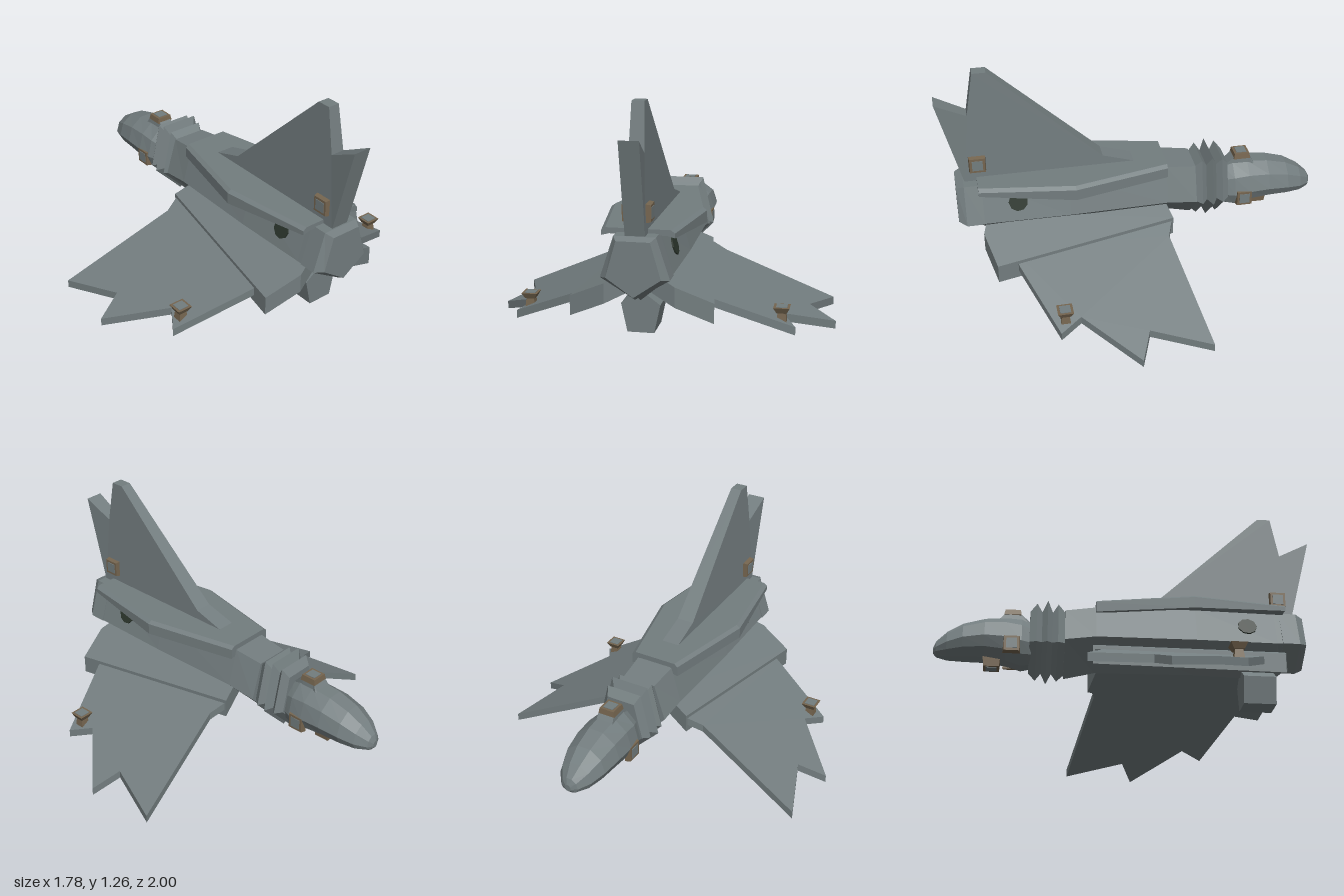
import * as THREE from 'three';

const material = (name, color, side = THREE.FrontSide) => {
  const m = new THREE.MeshStandardMaterial({ color, side, flatShading: true });
  m.name = name;
  return m;
};

export function createModel() {
  const root = new THREE.Group();
  root.name = 'spacecraft';
  const hull = material('hullGrey', 0x737d7f);
  const bronze = material('bronze', 0x75654f);
  const dark = material('darkPort', 0x2b352c, THREE.DoubleSide);

  const add = (name, geo, mat = hull, parent = root) => {
    const mesh = new THREE.Mesh(geo, mat);
    mesh.name = name;
    parent.add(mesh);
    return mesh;
  };

  // Skin over convex rings, each counter-clockwise seen from +z, ordered by rising z
  const loft = (rings) => {
    const pos = [];
    const tri = (...pts) => pts.forEach((p) => pos.push(...p));
    const n = rings[0].length;
    for (let r = 0; r < rings.length - 1; r++) {
      const a = rings[r], b = rings[r + 1];
      for (let i = 0; i < n; i++) {
        const j = (i + 1) % n;
        tri(a[i], a[j], b[j]);
        tri(a[i], b[j], b[i]);
      }
    }
    const first = rings[0], last = rings[rings.length - 1];
    for (let i = 1; i < n - 1; i++) {
      tri(first[0], first[i + 1], first[i]);
      tri(last[0], last[i], last[i + 1]);
    }
    const g = new THREE.BufferGeometry();
    g.setAttribute('position', new THREE.Float32BufferAttribute(pos, 3));
    g.computeVertexNormals();
    return g;
  };

  // Five-sided section: flat top, widest below the middle, pointed keel
  const pent = (z, topX, topY, midX, midY, keelY) => [
    [0, keelY, z], [midX, midY, z], [topX, topY, z], [-topX, topY, z], [-midX, midY, z],
  ];

  // Horizontal plate from a plan of [x, z] points, lifted by a rule y(x)
  const plate = (plan, thickness, lift) => {
    const shape = new THREE.Shape(plan.map(([x, z]) => new THREE.Vector2(x, -z)));
    const g = new THREE.ExtrudeGeometry(shape, { depth: thickness, bevelEnabled: false });
    g.rotateX(-Math.PI / 2);
    const p = g.attributes.position;
    for (let i = 0; i < p.count; i++) p.setY(i, p.getY(i) + lift(Math.abs(p.getX(i))));
    g.computeVertexNormals();
    return g;
  };

  // Fuselage, neck and main engine
  add('fuselage', loft([
    pent(-0.33, 0.09, 0.62, 0.15, 0.43, 0.27),
    pent(-0.17, 0.10, 0.64, 0.155, 0.45, 0.31),
    pent(0.35, 0.11, 0.65, 0.165, 0.45, 0.32),
    pent(0.77, 0.10, 0.65, 0.16, 0.45, 0.31),
    pent(0.82, 0.10, 0.65, 0.16, 0.45, 0.35),
  ]));
  add('mainEngine', loft([
    pent(0.80, 0.10, 0.65, 0.165, 0.45, 0.35),
    pent(0.89, 0.10, 0.65, 0.165, 0.45, 0.35),
    pent(0.93, 0.08, 0.635, 0.13, 0.46, 0.37),
  ]));
  add('lowerEngine', loft([0.6, 0.77].map((z) => [
    [-0.065, 0.15, z], [0.065, 0.15, z], [0.095, 0.29, z], [0, 0.36, z], [-0.095, 0.29, z],
  ])));

  // Ribbed collar between neck and head
  const ribs = [];
  [[-0.51, 0.76], [-0.475, 0.95], [-0.447, 0.76], [-0.42, 1.03], [-0.393, 0.76], [-0.365, 0.95], [-0.33, 0.78]]
    .forEach(([z, s]) => ribs.push(pent(z, 0.1 * s, 0.45 + 0.21 * s, 0.16 * s, 0.45 - 0.04 * s, 0.45 - 0.205 * s)));
  add('ribbedCollar', loft(ribs));

  // Head: faceted rounded nose; each entry is z, half width, top, bottom
  add('head', loft([
    [-1.0, 0.015, 0.42, 0.385], [-0.985, 0.045, 0.45, 0.37], [-0.93, 0.085, 0.5, 0.36],
    [-0.85, 0.112, 0.545, 0.36], [-0.74, 0.125, 0.575, 0.36], [-0.63, 0.126, 0.585, 0.345],
    [-0.55, 0.12, 0.58, 0.32], [-0.5, 0.1, 0.56, 0.33],
  ].map(([z, w, top, bottom]) => {
    const mid = bottom + (top - bottom) * 0.4;
    return Array.from({ length: 10 }, (_, i) => {
      const a = -Math.PI / 2 + ((i + 0.5) * Math.PI) / 5;
      const s = Math.sin(a) / Math.sin(0.4 * Math.PI);
      return [w * Math.cos(a) / Math.cos(Math.PI / 10), mid + s * (s > 0 ? top - mid : mid - bottom), z];
    });
  })));

  // Dorsal deck
  const deck = [[-0.17, 0.135, 0.6], [0.33, 0.245, 0.595], [0.82, 0.175, 0.632]];
  const deckSide = deck.map(([z, x]) => [x - 0.02, z]);
  add('dorsalDeck', plate(
    [...deckSide, ...deckSide.map(([x, z]) => [-x, z]).reverse()], 0.028, () => 0.642));

  // Tail fin, thinner towards its leading spike
  const finShape = new THREE.Shape([[1.0, 1.11], [0.84, 1.03], [0.8, 1.26], [0.73, 1.26], [0.16, 0.72],
    [-0.02, 0.665], [-0.02, 0.64], [0.88, 0.64]].map(([z, y]) => new THREE.Vector2(-z, y)));
  const fin = new THREE.ExtrudeGeometry(finShape, { depth: 2, bevelEnabled: false });
  fin.translate(0, 0, -1).rotateY(Math.PI / 2);
  const fp = fin.attributes.position;
  for (let i = 0; i < fp.count; i++) {
    const y = fp.getY(i), z = fp.getZ(i);
    const half = z > 0.85 ? 0.048 : 0.048 - 0.018 * Math.max(0, (y - 0.65) / 0.61);
    fp.setX(i, Math.sign(fp.getX(i)) * half);
  }
  fin.computeVertexNormals();
  add('tailFin', fin);

  // Manoeuvring thruster: flared bronze block with an inset face, pointing along dir
  const thruster = (name, position, dir, height = 0.03, stem = 0) => {
    const g = new THREE.Group();
    g.name = name;
    const block = (label, top, bottom, h, y, mat) => {
      const geo = new THREE.CylinderGeometry(top / Math.SQRT2, bottom / Math.SQRT2, h, 4);
      geo.rotateY(Math.PI / 4);
      add(label, geo, mat, g).position.y = y;
    };
    block('thrusterBlock', 0.08, stem ? 0.05 : 0.09, height, -height / 2, bronze);
    if (stem) block('thrusterStem', 0.04, 0.05, stem, -height - stem / 2, bronze);
    block('thrusterFace', 0.055, 0.055, 0.004, 0.001, hull);
    g.position.set(...position);
    g.quaternion.setFromUnitVectors(new THREE.Vector3(0, 1, 0), new THREE.Vector3(...dir));
    root.add(g);
  };

  // Mirrored parts
  for (const s of [1, -1]) {
    const side = s > 0 ? 'left' : 'right';
    const flip = (pts) => pts.map(([x, z]) => [s * x, z]);

    add(side + 'WingRoot', plate(
      flip([[0.05, -0.15], [0.2, -0.19], [0.35, 0.76], [0.17, 0.81], [0.05, 0.77]]),
      0.1, (x) => 0.21 - (x - 0.35) * 0.47));
    add(side + 'Wing', plate(
      flip([[0.15, -0.17], [0.2, -0.18], [0.28, -0.15], [0.86, -0.26], [0.75, 0.05], [0.89, 0.11],
        [0.64, 0.38], [0.71, 0.49], [0.345, 0.65], [0.25, 0.68]]),
      0.042, (x) => 0.25 - (x - 0.35) * 0.462));

    // Down-turned deck edge
    add(side + 'DeckLip', loft(deck.map(([z, x, y]) => {
      const ring = [[x - 0.045, y + 0.012], [x, y], [x, 0.655], [x - 0.02, 0.67], [x - 0.045, 0.67]]
        .map(([px, py]) => [s * px, py, z]);
      return s > 0 ? ring : ring.reverse();
    })));

    // Round side port
    const port = add(side + 'Port', new THREE.CylinderGeometry(0.05, 0.05, 0.008, 9), dark);
    port.position.set(s * 0.137, 0.55, 0.62);
    port.quaternion.setFromUnitVectors(
      new THREE.Vector3(0, 1, 0), new THREE.Vector3(s * 0.957, 0.29, 0).normalize());

    thruster(side + 'WingThruster', [s * 0.64, 0.22, 0.46], [0, 1, 0], 0.03, 0.045);
    thruster(side + 'FinThruster', [s * 0.068, 0.75, 0.81], [s, 0, 0]);
    thruster(side + 'HeadThruster', [s * 0.133, 0.405, -0.6], [s, 0, 0]);
  }

  // Head thrusters above and below, the upper one on a sloped fairing
  const fairing = (z, w, y) => [[-w, 0.55, z], [w, 0.55, z], [w * 0.8, y, z], [-w * 0.8, y, z]];
  add('upperFairing', loft([
    fairing(-0.67, 0.06, 0.57), fairing(-0.635, 0.05, 0.62),
    fairing(-0.565, 0.045, 0.62), fairing(-0.51, 0.04, 0.57)]));
  thruster('upperThruster', [0, 0.635, -0.6], [0, 1, 0]);
  thruster('lowerThruster', [0, 0.312, -0.7], [0, -1, 0], 0.05);

  return root;
}
